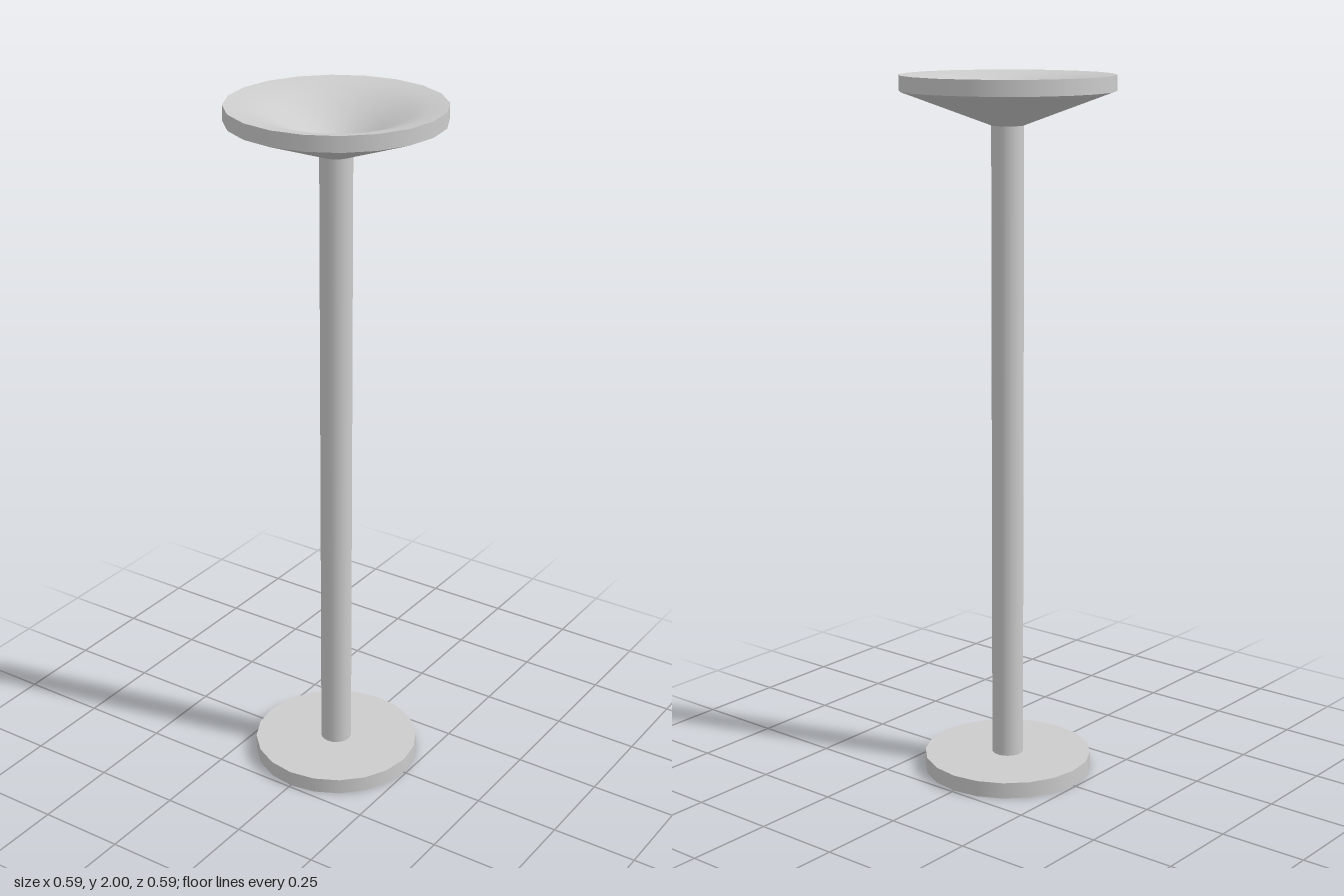
import * as THREE from 'three';

const SIDES = 20;

export function createModel() {
  const model = new THREE.Group();
  const material = new THREE.MeshStandardMaterial({ color: 0xcccccc });

  const add = (name, geometry, y, parent = model) => {
    const mesh = new THREE.Mesh(geometry, material);
    mesh.name = name;
    mesh.position.y = y;
    parent.add(mesh);
  };
  const lathe = (points) =>
    new THREE.LatheGeometry(points.map(([r, y]) => new THREE.Vector2(r, y)), SIDES);

  // Round foot plate and slender post
  add('base', new THREE.CylinderGeometry(0.242, 0.242, 0.046, SIDES), 0.023);
  add('post', new THREE.CylinderGeometry(0.045, 0.045, 1.83, SIDES, 1, true), 0.955);

  // Dish: separate surfaces keep the rim edges sharp
  const dish = new THREE.Group();
  dish.name = 'dish';
  model.add(dish);
  add('dishUnderside', lathe([[0, 1.862], [0.04, 1.862], [0.297, 1.957]]), 0, dish);
  add('dishRim', lathe([[0.297, 1.957], [0.297, 2]]), 0, dish);
  // Flared hollow, steepest near the middle, listed from the rim inward
  add('dishHollow', lathe([
    [0.297, 2], [0.25, 1.992], [0.2, 1.977], [0.12, 1.937], [0.04, 1.885], [0, 1.875],
  ]), 0, dish);

  return model;
}
